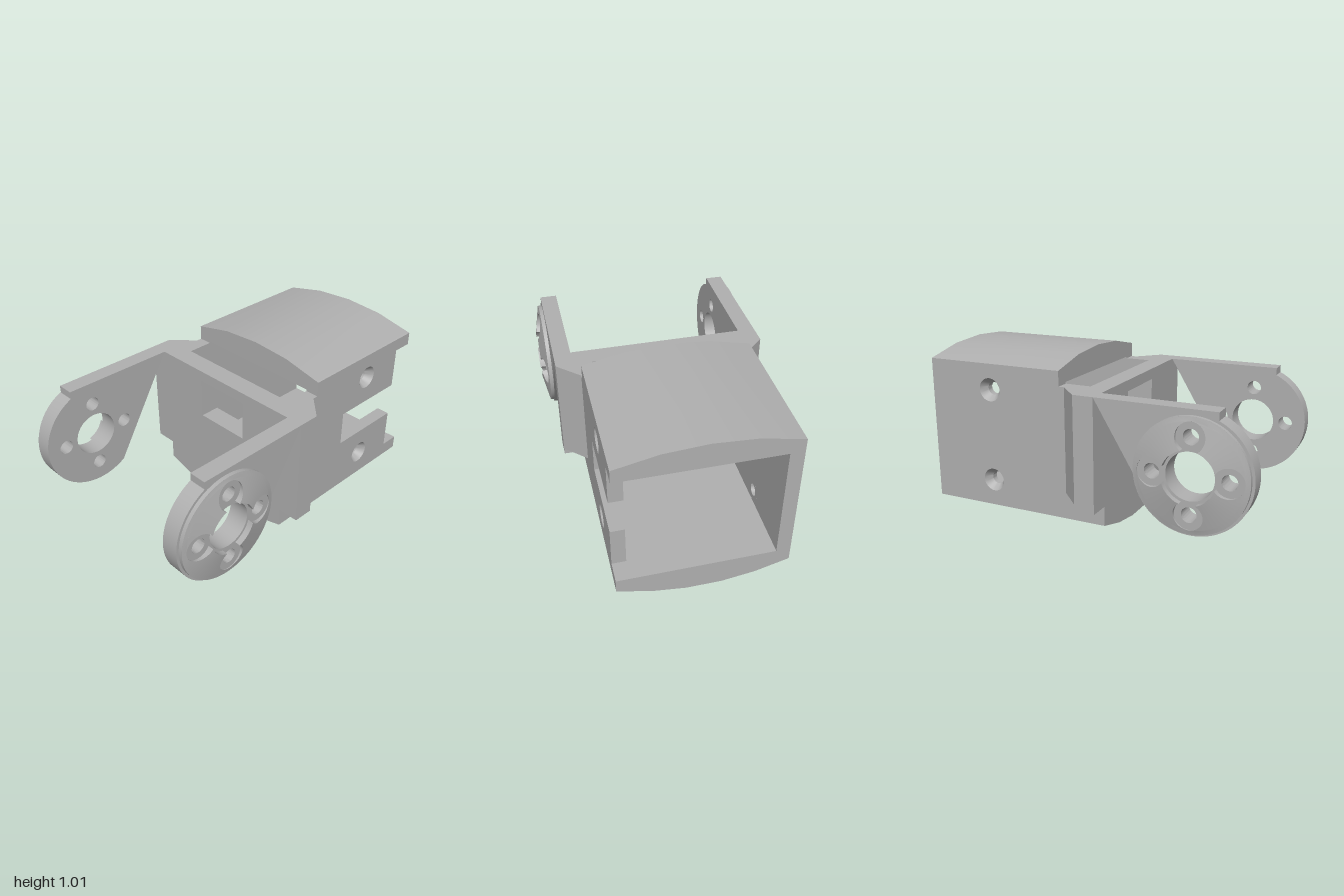
import * as THREE from 'three';
import { toCreasedNormals } from 'three/addons/utils/BufferGeometryUtils.js';

const AXLE = { x: -0.677, y: 0.515 };
const SCREW_X = 0.6, SCREW_Y = [0.243, 0.79];
const BOLT_DIST = 0.205, BOLT_R = 0.042, BORE_R = 0.08, HUB_R = 0.13;

const shapeOf = (pts) => new THREE.Shape(pts.map(([x, y]) => new THREE.Vector2(x, y)));

function addHole(shape, x, y, r) {
  shape.holes.push(new THREE.Path().absarc(x, y, r, 0, Math.PI * 2, true));
}

// Hub hole surrounded by four bolt holes
function addHubHoles(shape, x, y) {
  addHole(shape, x, y, HUB_R);
  for (let k = 0; k < 4; k++) {
    const a = (k * Math.PI) / 2;
    addHole(shape, x + BOLT_DIST * Math.cos(a), y + BOLT_DIST * Math.sin(a), BOLT_R);
  }
}

function extrude(shape, depth) {
  const geo = new THREE.ExtrudeGeometry(shape, { depth, bevelEnabled: false, curveSegments: 32 });
  return toCreasedNormals(geo, 0.5);
}

// Profile in (z, y), symmetric in z, swept from x0 to x1
function extrudeX(shape, x0, x1) {
  return extrude(shape, x1 - x0).rotateY(Math.PI / 2).translate(x0, 0, 0);
}

// Conical hub cap in four sectors, leaving round counterbores between them
function hubCapGeometry(floor) {
  const rIn = 0.145, rBore = BOLT_DIST + BORE_R, rOut = 0.31, rows = [], cols = 12;
  for (let i = 0; i <= 14; i++) {
    rows.push(rIn + (rBore - rIn) * Math.sin((i / 14) * Math.PI / 2));
  }
  rows.push(rOut);
  const pos = [], index = [], stride = cols + 3;
  for (let k = 0; k < 4; k++) {
    const base = pos.length / 3;
    // the extra border row and columns drop to the floor as side walls
    for (let i = -1; i < rows.length; i++) {
      const r = rows[Math.max(i, 0)];
      const c = (r * r + BOLT_DIST ** 2 - BORE_R ** 2) / (2 * r * BOLT_DIST);
      const gap = r >= rBore - 1e-6 ? 0 : Math.acos(Math.min(1, c));
      for (let j = -1; j <= cols + 1; j++) {
        const u = Math.min(Math.max(j, 0), cols) / cols;
        const a = k * Math.PI / 2 + gap + u * (Math.PI / 2 - 2 * gap);
        const wall = i < 0 || j < 0 || j > cols;
        const z = wall ? floor : floor + 0.034 * (rOut - r) / (rOut - rIn);
        pos.push(r * Math.cos(a), r * Math.sin(a), z);
      }
    }
    for (let i = 0; i < rows.length; i++) {
      for (let j = 0; j < stride - 1; j++) {
        const a = base + i * stride + j, b = a + stride;
        index.push(a, b, b + 1, a, b + 1, a + 1);
      }
    }
  }
  const geo = new THREE.BufferGeometry();
  geo.setAttribute('position', new THREE.Float32BufferAttribute(pos, 3));
  geo.setIndex(index);
  return toCreasedNormals(geo, 0.5);
}

export function createModel() {
  const model = new THREE.Group();
  model.name = 'jointBracket';
  const grey = new THREE.MeshStandardMaterial({ color: 0xb0b0b0, side: THREE.DoubleSide });
  grey.name = 'grey';
  const add = (name, geo, parent = model) => {
    const mesh = new THREE.Mesh(geo, grey);
    mesh.name = name;
    parent.add(mesh);
    return mesh;
  };

  // Curved shells above and below the open box
  add('bottomShell', extrudeX(shapeOf([
    [-0.48, 0.165], [-0.48, 0.085], [-0.29, 0.03], [-0.1, 0.002],
    [0.1, 0.002], [0.29, 0.03], [0.48, 0.085], [0.48, 0.165],
  ]), -0.13, 1));
  add('topShell', extrudeX(shapeOf([
    [-0.48, 0.865], [0.48, 0.865], [0.48, 0.942], [0.24, 0.994],
    [0, 1.01], [-0.24, 0.994], [-0.48, 0.942],
  ]), 0.145, 1));

  // Box walls, the front one with a stepped slot
  const wallRear = [[0.145, 0.865], [0.145, 0.855], [-0.01, 0.855], [-0.01, 0.2], [-0.13, 0.2], [-0.13, 0.165]];
  const slotted = [[0.88, 0.165], [0.88, 0.41], [0.4, 0.41], [0.4, 0.62], [0.88, 0.62], [0.88, 0.865]];
  const plain = [[1, 0.165], [1, 0.865]];
  const sinkProfile = [[0.068, 0.48], [0.038, 0.435], [0.038, 0.4], [0.068, 0.4]]
    .map(([r, y]) => new THREE.Vector2(r, y));
  const sinkGeo = toCreasedNormals(new THREE.LatheGeometry(sinkProfile, 32).rotateX(Math.PI / 2), 0.5);
  for (const [name, edge, side] of [['front', slotted, 1], ['back', plain, -1]]) {
    const wall = shapeOf([...edge, ...wallRear]);
    SCREW_Y.forEach((y) => addHole(wall, SCREW_X, y, 0.068));
    add(name + 'Wall', extrude(wall, 0.08).translate(0, 0, side > 0 ? 0.4 : -0.48));
    for (const y of SCREW_Y) {
      const sink = add(name + 'Countersink', sinkGeo);
      sink.position.set(SCREW_X, y, 0);
      if (side < 0) sink.rotation.x = Math.PI;
    }
  }

  // Cross plate with a cable window
  const plate = shapeOf([
    [-0.608, 0.2], [-0.4, 0.2], [-0.4, 0.165], [0.4, 0.165],
    [0.4, 0.2], [0.608, 0.2], [0.608, 0.855], [-0.608, 0.855],
  ]);
  plate.holes.push(shapeOf([[-0.172, 0.55], [-0.172, 0.79], [0.172, 0.79], [0.172, 0.55]]));
  add('crossPlate', extrudeX(plate, -0.13, -0.01));

  // Arm outline: a bar running into a round end
  const R = 0.325, barBottom = 0.24, barEnd = -0.81;
  const a0 = Math.asin((barBottom - AXLE.y) / R);
  const a1 = Math.acos((barEnd - AXLE.x) / R);
  const arm = new THREE.Shape();
  arm.moveTo(-0.13, barBottom);
  arm.absarc(AXLE.x, AXLE.y, R, a0, a1, true);
  arm.lineTo(barEnd, 0.855);
  arm.lineTo(-0.13, 0.855);
  addHubHoles(arm, AXLE.x, AXLE.y);

  const disc = new THREE.Shape().absarc(0, 0, 0.31, 0, Math.PI * 2, false);
  addHubHoles(disc, 0, 0);
  const discGeo = extrude(disc, 0.022).translate(0, 0, 0.608);
  const capGeo = hubCapGeometry(0.63);

  for (const side of [1, -1]) {
    const name = side > 0 ? 'front' : 'back';
    add(name + 'Arm', extrude(arm, 0.1).translate(0, 0, side > 0 ? 0.508 : -0.608));

    // Sloped gusset from arm to box wall
    const gusset = shapeOf([[-0.01, -0.608 * side], [0.112, -0.48 * side], [-0.01, -0.48 * side]]);
    add(name + 'Gusset', extrude(gusset, 0.615).rotateX(-Math.PI / 2).translate(0, 0.24, 0));

    // Hub: rim disc and conical cap
    const hub = new THREE.Group();
    hub.name = name + 'Hub';
    hub.position.set(AXLE.x, AXLE.y, 0);
    if (side < 0) hub.rotation.x = Math.PI;
    add('hubDisc', discGeo, hub);
    add('hubCap', capGeo, hub);
    model.add(hub);
  }
  return model;
}
